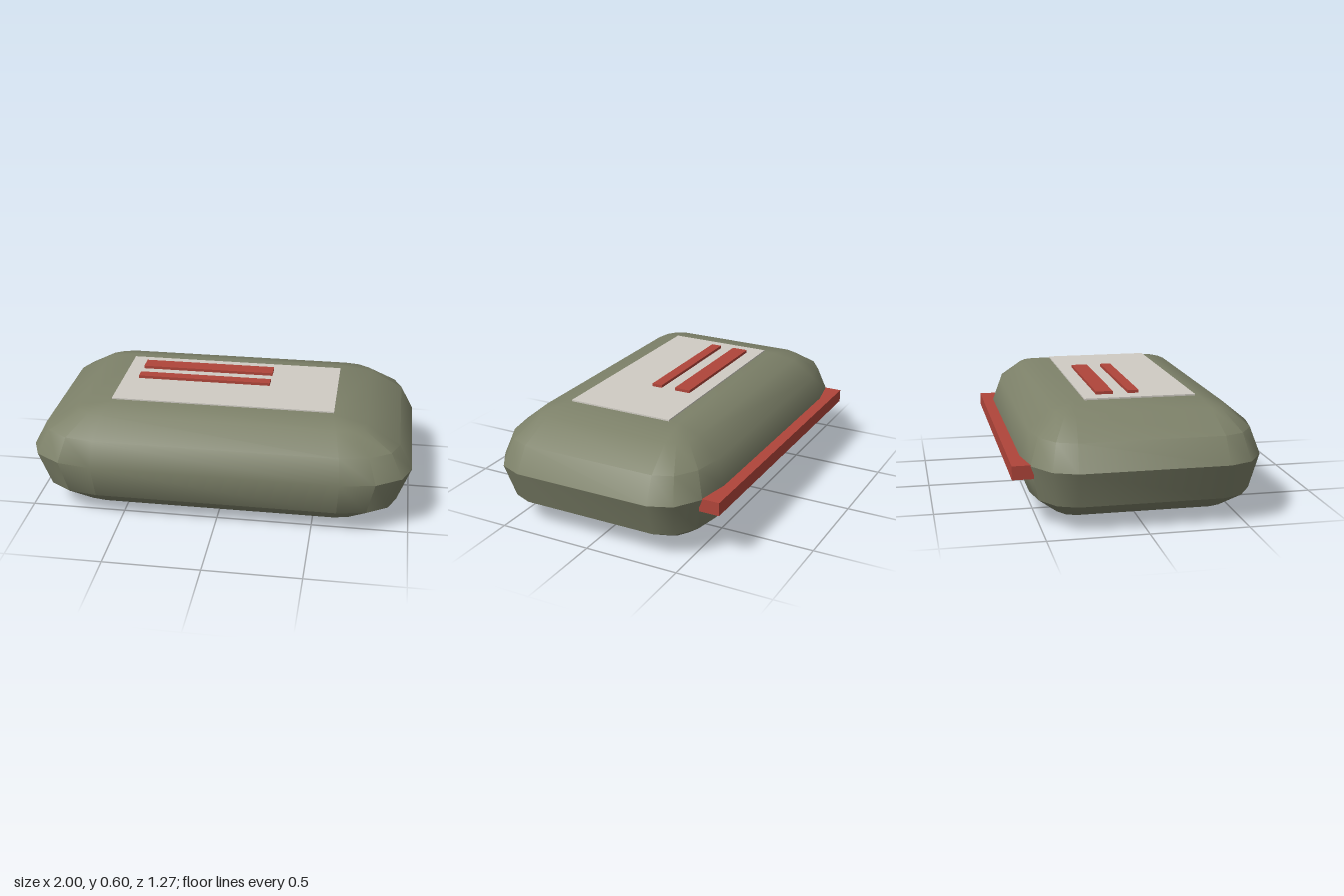
import * as THREE from 'three';
import { toCreasedNormals } from 'three/addons/utils/BufferGeometryUtils.js';

const paint = (color) => new THREE.MeshStandardMaterial({ color });

// Rounded body lofted through rings; f is how far each ring bulges out
function bodyGeometry() {
  const levels = [[0.003, 0], [0.04, 0.43], [0.135, 0.835], [0.32, 1], [0.45, 0.835], [0.545, 0.43], [0.577, 0]];
  const steps = 3, zMid = 0.0275;
  const rings = levels.map(([y, f]) => {
    const ring = [];
    const coreX = 0.58 + 0.06 * f, coreZ = 0.32 + 0.05 * f;
    for (let corner = 0; corner < 4; corner++) {
      const mid = (corner + 0.5) * Math.PI / 2;
      const sx = Math.sign(Math.cos(mid)), sz = Math.sign(Math.sin(mid));
      for (let i = 0; i <= steps; i++) {
        const a = (corner + i / steps) * Math.PI / 2;
        ring.push(new THREE.Vector3(
          sx * coreX + 0.36 * f * Math.cos(a), y,
          zMid + sz * coreZ + 0.235 * f * Math.sin(a)));
      }
    }
    return ring;
  });
  const positions = [];
  const tri = (a, b, c) => {
    const area = b.clone().sub(a).cross(c.clone().sub(a)).length();
    if (area > 1e-6) for (const p of [a, b, c]) positions.push(p.x, p.y, p.z);
  };
  const n = rings[0].length;
  for (let r = 0; r < rings.length - 1; r++) {
    for (let i = 0; i < n; i++) {
      const j = (i + 1) % n, lo = rings[r], hi = rings[r + 1];
      tri(lo[i], hi[i], hi[j]);
      tri(lo[i], hi[j], lo[j]);
    }
  }
  // Flat top and bottom
  const top = rings[rings.length - 1], bottom = rings[0];
  for (let i = 1; i < n - 1; i++) {
    tri(top[0], top[i + 1], top[i]);
    tri(bottom[0], bottom[i], bottom[i + 1]);
  }
  const g = new THREE.BufferGeometry();
  g.setAttribute('position', new THREE.Float32BufferAttribute(positions, 3));
  return toCreasedNormals(g, 0.64);
}

export function createModel() {
  const model = new THREE.Group();
  const green = paint(0x7d8169), pale = paint(0xd0ccc4), red = paint(0xb0453a);

  const add = (name, geometry, material) => {
    const mesh = new THREE.Mesh(geometry, material);
    mesh.name = name;
    model.add(mesh);
  };
  // Box given by its limits on each axis
  const box = (name, material, [x0, x1], [y0, y1], [z0, z1]) => {
    const g = new THREE.BoxGeometry(x1 - x0, y1 - y0, z1 - z0);
    g.translate((x0 + x1) / 2, (y0 + y1) / 2, (z0 + z1) / 2);
    add(name, g, material);
  };

  add('body', bodyGeometry(), green);
  box('labelPanel', pale, [-0.585, 0.585], [0.57, 0.584], [-0.24, 0.33]);
  box('wideStripe', red, [-0.5, 0.22], [0.582, 0.599], [-0.165, -0.078]);
  box('narrowStripe', red, [-0.5, 0.22], [0.582, 0.599], [0, 0.057]);
  // Seam strip along the back
  box('backStrip', red, [-0.82, 0.82], [0.256, 0.325], [-0.636, -0.53]);
  return model;
}
